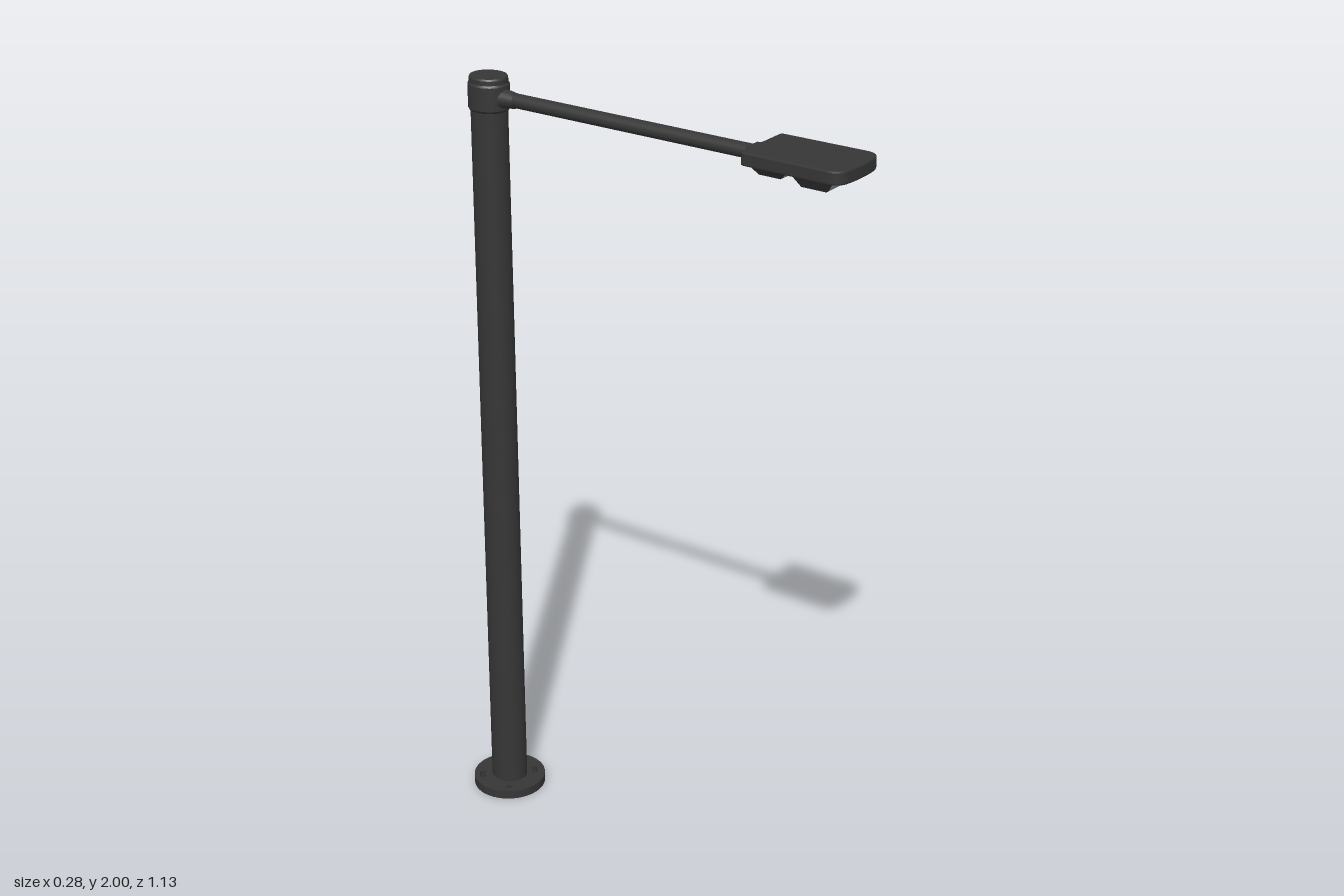
import * as THREE from 'three';
import { ConvexGeometry } from 'three/addons/geometries/ConvexGeometry.js';

const metal = new THREE.MeshStandardMaterial({ color: 0x363636 });
metal.name = 'dark metal';
const glass = new THREE.MeshStandardMaterial({ color: 0x9c9c92, side: THREE.DoubleSide });
glass.name = 'pale lens';

function part(name, geometry, material = metal) {
  const mesh = new THREE.Mesh(geometry, material);
  mesh.name = name;
  return mesh;
}

// Curved bolt slot following the flange rim
function arcSlot(angle, radius, halfWidth, halfSpan) {
  const slot = new THREE.Path();
  const a = angle - halfSpan, b = angle + halfSpan;
  slot.absarc(0, 0, radius + halfWidth, a, b, false);
  slot.absarc(radius * Math.cos(b), radius * Math.sin(b), halfWidth, b, b + Math.PI, false);
  slot.absarc(0, 0, radius - halfWidth, b, a, true);
  slot.absarc(radius * Math.cos(a), radius * Math.sin(a), halfWidth, a + Math.PI, a + 2 * Math.PI, false);
  return slot;
}

function flangeGeometry() {
  const shape = new THREE.Shape();
  shape.absarc(0, 0, 0.097, 0, Math.PI * 2, false);
  shape.holes.push(arcSlot(2.4, 0.075, 0.007, 0.13), arcSlot(-0.68, 0.07, 0.007, 0.13));
  const hole = new THREE.Path();
  hole.absarc(-0.055, -0.05, 0.008, 0, Math.PI * 2, true);
  shape.holes.push(hole);
  const geometry = new THREE.ExtrudeGeometry(shape, { depth: 0.024, bevelEnabled: false, curveSegments: 32 });
  return geometry.rotateX(-Math.PI / 2);
}

// Head outline: tight corners at the arm, broad corners at the tip
function headGeometry() {
  const l = -0.061, r = 0.104, back = 0.768, tip = 1.03;
  const s = new THREE.Shape();
  s.moveTo(l + 0.008, back);
  s.lineTo(-0.03, back);
  s.quadraticCurveTo(-0.02, back, -0.02, back - 0.01);
  s.lineTo(0.02, back - 0.01);
  s.quadraticCurveTo(0.02, back, 0.03, back);
  s.lineTo(r - 0.008, back);
  s.quadraticCurveTo(r, back, r, back + 0.008);
  s.lineTo(r + 0.002, tip - 0.04);
  s.quadraticCurveTo(r + 0.002, tip - 0.004, r - 0.035, tip - 0.002);
  s.quadraticCurveTo(0.02, tip + 0.004, l + 0.033, tip - 0.002);
  s.quadraticCurveTo(l - 0.002, tip - 0.004, l - 0.002, tip - 0.04);
  s.lineTo(l, back + 0.008);
  s.quadraticCurveTo(l, back, l + 0.008, back);
  const geometry = new THREE.ExtrudeGeometry(s, {
    depth: 0.024, bevelThickness: 0.004, bevelSize: 0.003, bevelSegments: 2, curveSegments: 8,
  });
  return geometry.rotateX(Math.PI / 2).translate(0, 1.964, 0);
}

// Tapered optic box under the head, with a lens on its sloping front
function lampModule(zBack, zFront, bottom) {
  const group = new THREE.Group();
  group.name = 'lampModule';
  const cx = 0.022, top = 1.938;
  const corners = [];
  for (const side of [-1, 1]) {
    for (const [half, y, z] of [[0.064, top, zBack], [0.064, top, zFront],
      [0.04, bottom, zBack + 0.02], [0.04, bottom, zFront - 0.03]]) {
      corners.push(new THREE.Vector3(cx + side * half, y, z));
    }
  }
  group.add(part('opticHousing', new ConvexGeometry(corners)));

  const outline = new THREE.Shape();
  const slope = Math.hypot(top - bottom, 0.03);
  outline.moveTo(-0.037, 0.003);
  outline.lineTo(0.037, 0.003);
  outline.lineTo(0.057, slope - 0.003);
  outline.lineTo(-0.057, slope - 0.003);
  const lens = part('lens', new THREE.ShapeGeometry(outline), glass);
  lens.position.set(cx, bottom - 0.001, zFront - 0.029);
  lens.rotation.x = Math.atan2(0.03, top - bottom);
  group.add(lens);
  return group;
}

export function createModel() {
  const model = new THREE.Group();
  model.name = 'streetLamp';

  const column = new THREE.Group();
  column.name = 'column';
  column.position.set(-0.043, 0, -0.467);
  model.add(column);

  column.add(part('baseFlange', flangeGeometry()));

  // Slightly oval, barely tapering pole
  const pole = part('pole', new THREE.CylinderGeometry(0.047, 0.0495, 1.91, 40, 1, true));
  pole.position.y = 0.975;
  pole.scale.x = 0.93;
  column.add(pole);

  // Collar with a bevelled shoulder and a raised lid
  const collarProfile = [[0.045, 1.915], [0.05, 1.917], [0.053, 1.922], [0.053, 1.922], [0.053, 1.98],
    [0.053, 1.98], [0.0495, 1.985], [0.0495, 1.985], [0.0495, 1.996], [0.0495, 1.996],
    [0.047, 2], [0.047, 2], [0, 2]]
    .map(([r, y]) => new THREE.Vector2(r, y));
  const collar = part('collar', new THREE.LatheGeometry(collarProfile, 40));
  collar.scale.x = 0.92;
  column.add(collar);

  // Arm and head swing a little to the model's left
  const arm = new THREE.Group();
  arm.name = 'armAssembly';
  arm.rotation.y = 0.073;
  column.add(arm);

  const socket = part('armSocket', new THREE.CylinderGeometry(0.02, 0.028, 0.05, 24).rotateX(Math.PI / 2));
  socket.position.set(0, 1.949, 0.06);
  socket.scale.y = 0.9;
  arm.add(socket);

  const tube = part('armTube', new THREE.CylinderGeometry(0.0195, 0.0195, 0.74, 24).rotateX(Math.PI / 2));
  tube.position.set(0, 1.95, 0.41);
  tube.scale.y = 0.9;
  arm.add(tube);

  arm.add(part('lampHead', headGeometry()));
  arm.add(lampModule(0.88, 0.995, 1.9));
  arm.add(lampModule(0.768, 0.875, 1.907));
  return model;
}
